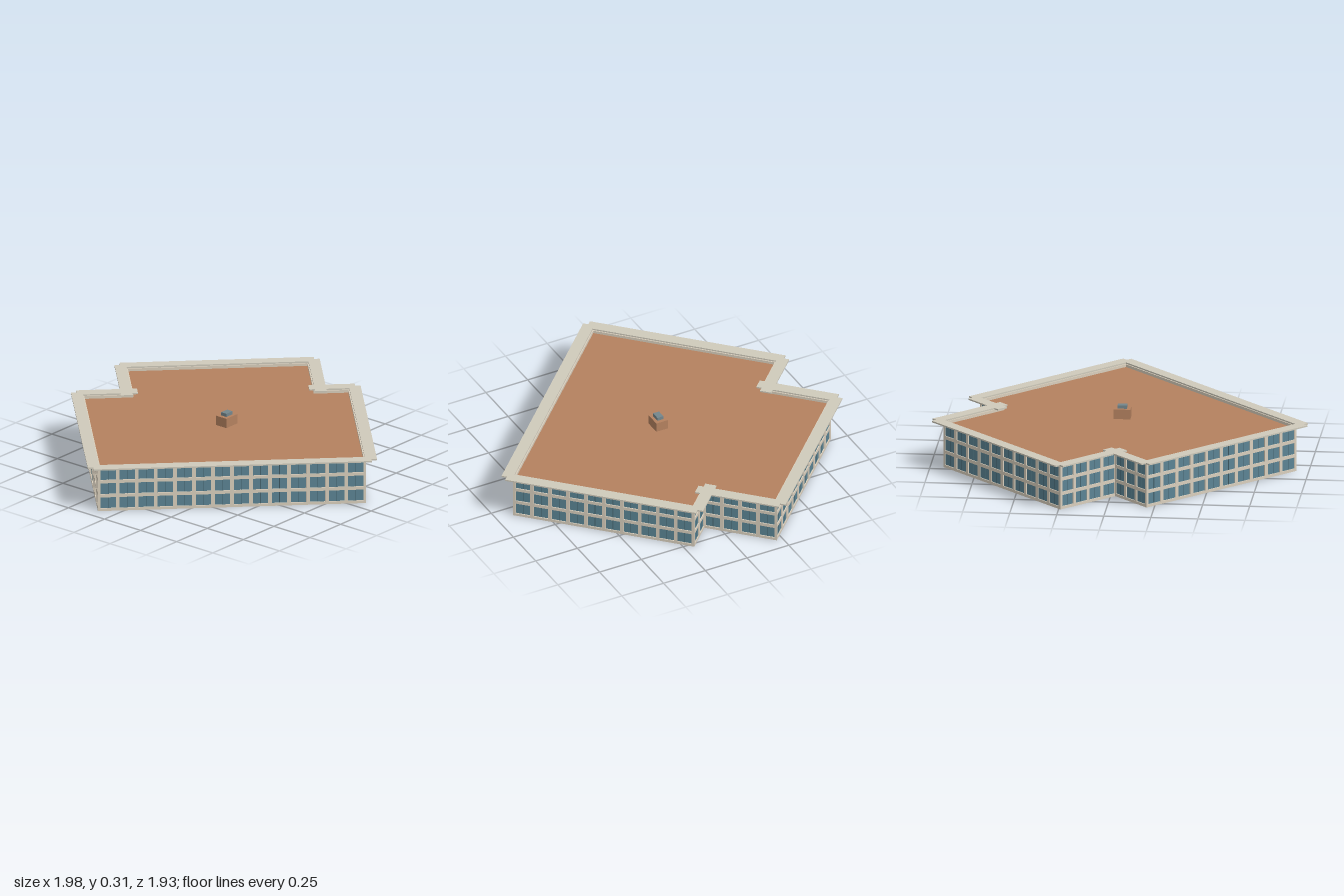
import * as THREE from 'three';

const mat = (color, side = THREE.FrontSide) => new THREE.MeshStandardMaterial({ color, side });
const wallMat = mat(0xd9cfbd);
const corniceMat = mat(0xcfcabb);
const roofMat = mat(0xb4815f, THREE.DoubleSide);
const glassMat = mat(0x5b8494);
const frameMat = mat(0x44636e);
const ventMat = mat(0x74868c);

// Footprint corners (x, z) and the number of window bays on the wall that starts there
const plan = [
  [-0.93, -0.10, 14], [0.07, 0.90, 10], [0.772, 0.198, 2], [0.642, 0.068, 4],
  [0.925, -0.215, 10], [0.24, -0.90, 4], [-0.025, -0.635, 3], [-0.21, -0.82, 10],
];
const WALL_TOP = 0.252, ROOF_Y = 0.237;
const ROWS = [0.015, 0.095, 0.175], WIN_H = 0.062;

function box(parent, name, material, w, h, d, x, y, z) {
  const m = new THREE.Mesh(new THREE.BoxGeometry(w, h, d), material);
  m.name = name;
  m.position.set(x, y, z);
  parent.add(m);
  return m;
}

// Rectangle path used for window openings
function rect(PathClass, x, y, w, h) {
  const p = new PathClass();
  p.moveTo(x, y).lineTo(x + w, y).lineTo(x + w, y + h).lineTo(x, y + h).closePath();
  return p;
}

// One straight wall: pierced slab, glazing and overhanging cornice; +z is outward
function facade([x0, z0, bays], [x1, z1]) {
  const side = new THREE.Group();
  side.name = 'facade';
  side.position.set((x0 + x1) / 2, 0, (z0 + z1) / 2);
  side.rotation.y = Math.atan2(z0 - z1, x1 - x0);
  const length = Math.hypot(x1 - x0, z1 - z0);
  const pitch = length / bays, winW = pitch * 0.8, out = 0.004;

  const slab = rect(THREE.Shape, -length / 2 - out, 0, length + 2 * out, WALL_TOP);
  for (let i = 0; i < bays; i++) {
    const cx = -length / 2 + (i + 0.5) * pitch;
    for (const y of ROWS) {
      slab.holes.push(rect(THREE.Path, cx - winW / 2, y, winW, WIN_H));
      const cy = y + WIN_H / 2;
      box(side, 'windowPane', glassMat, winW, WIN_H, 0.003, cx, cy, -0.003);
      box(side, 'windowMullion', frameMat, 0.003, WIN_H, 0.005, cx, cy, -0.003);
    }
  }
  const geo = new THREE.ExtrudeGeometry(slab, { depth: 0.012, bevelEnabled: false });
  geo.translate(0, 0, out - 0.012);
  const wall = new THREE.Mesh(geo, wallMat);
  wall.name = 'wall';
  side.add(wall);

  // Cornice strip runs a little past both corners
  box(side, 'cornice', corniceMat, length + 0.062, 0.008, 0.062, 0, WALL_TOP + 0.004, 0.029);
  return side;
}

export function createModel() {
  const building = new THREE.Group();
  building.name = 'building';

  plan.forEach((p, i) => building.add(facade(p, plan[(i + 1) % plan.length])));

  // Flat roof sunk behind the parapet; the shell is open underneath
  const outline = new THREE.Shape(plan.map(([x, z]) => new THREE.Vector2(x, -z)));
  const roof = new THREE.Mesh(new THREE.ShapeGeometry(outline).rotateX(-Math.PI / 2), roofMat);
  roof.name = 'roof';
  roof.position.y = ROOF_Y;
  building.add(roof);

  // Rooftop plant housing and vent
  box(building, 'roofHousing', roofMat, 0.09, 0.053, 0.07, 0, ROOF_Y + 0.0265, 0);
  box(building, 'roofVent', ventMat, 0.05, 0.018, 0.036, 0, ROOF_Y + 0.062, 0);

  return building;
}
